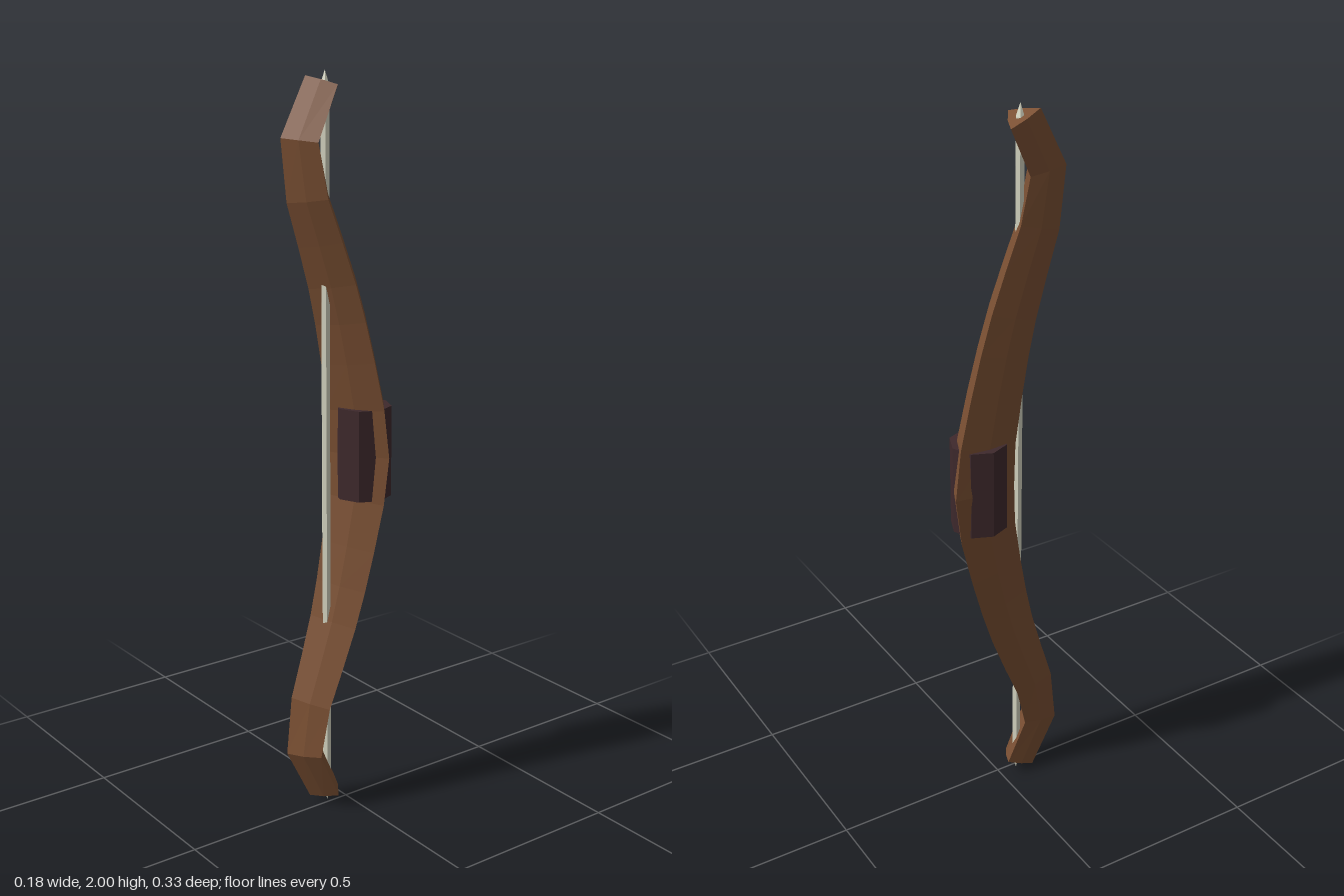
import * as THREE from 'three';

const mat = (name, color) => {
  const m = new THREE.MeshStandardMaterial({ color, flatShading: true });
  m.name = name;
  return m;
};

const CX = -0.0137; // centre line of the bow in x

// Upper half of the limb: [y, z] from the grip to the tip
const half = [
  [1, -0.077], [1.13, -0.065], [1.26, -0.038], [1.37, -0.012], [1.47, 0.016],
  [1.58, 0.054], [1.69, 0.094], [1.83, 0.118], [1.967, 0.054],
];

// Sweeps a tapering, slightly bulged triangle along the bow
function limbGeometry() {
  const path = [...half.slice(1).reverse().map(([y, z]) => [2 - y, z]), ...half];
  const pos = [], idx = [], sides = 6, last = path.length - 1;
  path.forEach(([y, z], i) => {
    const p = path[Math.max(i - 1, 0)], q = path[Math.min(i + 1, last)];
    const len = Math.hypot(q[0] - p[0], q[1] - p[1]);
    const ty = (q[0] - p[0]) / len, tz = (q[1] - p[1]) / len;
    const r = 0.102 - 0.049 * Math.abs(y - 1) / 0.967;
    for (let j = 0; j < sides; j++) {
      const a = j * Math.PI / 3;
      const d = j % 2 ? r * 0.59 : r;
      const n = Math.sin(a) * d;
      pos.push(CX + Math.cos(a) * d, y - tz * n, z + ty * n);
    }
  });
  for (let i = 0; i < last; i++) {
    for (let j = 0; j < sides; j++) {
      const a = i * sides + j, b = i * sides + (j + 1) % sides;
      idx.push(a, a + sides, b, b, a + sides, b + sides);
    }
  }
  // End caps
  [0, last].forEach((i) => {
    const c = pos.length / 3;
    pos.push(CX, path[i][0], path[i][1]);
    for (let j = 0; j < sides; j++) {
      const a = i * sides + j, b = i * sides + (j + 1) % sides;
      idx.push(c, ...(i === 0 ? [a, b] : [b, a]));
    }
  });
  const g = new THREE.BufferGeometry();
  g.setAttribute('position', new THREE.Float32BufferAttribute(pos, 3));
  g.setIndex(idx);
  const flat = g.toNonIndexed();
  flat.computeVertexNormals();
  return flat;
}

export function createModel() {
  const group = new THREE.Group();
  group.name = 'bow';
  const add = (name, geo, material, x, y, z) => {
    const mesh = new THREE.Mesh(geo, material);
    mesh.name = name;
    mesh.position.set(x, y, z);
    group.add(mesh);
  };

  add('limbs', limbGeometry(), mat('brown wood', 0x7b5033), 0, 0, 0);

  // Octagonal wrap showing through the faces of the limb
  add('grip', new THREE.CylinderGeometry(0.077, 0.077, 0.25, 8), mat('dark leather', 0x3e292c), CX, 1.003, -0.067);

  // Straight string with pointed ends
  const profile = [[0, -1], [0.012, -0.965], [0.012, 0.965], [0, 1]].map(([r, y]) => new THREE.Vector2(r, y));
  add('string', new THREE.LatheGeometry(profile, 6), mat('pale string', 0xd8d8c4), CX, 1, 0.055);

  return group;
}
